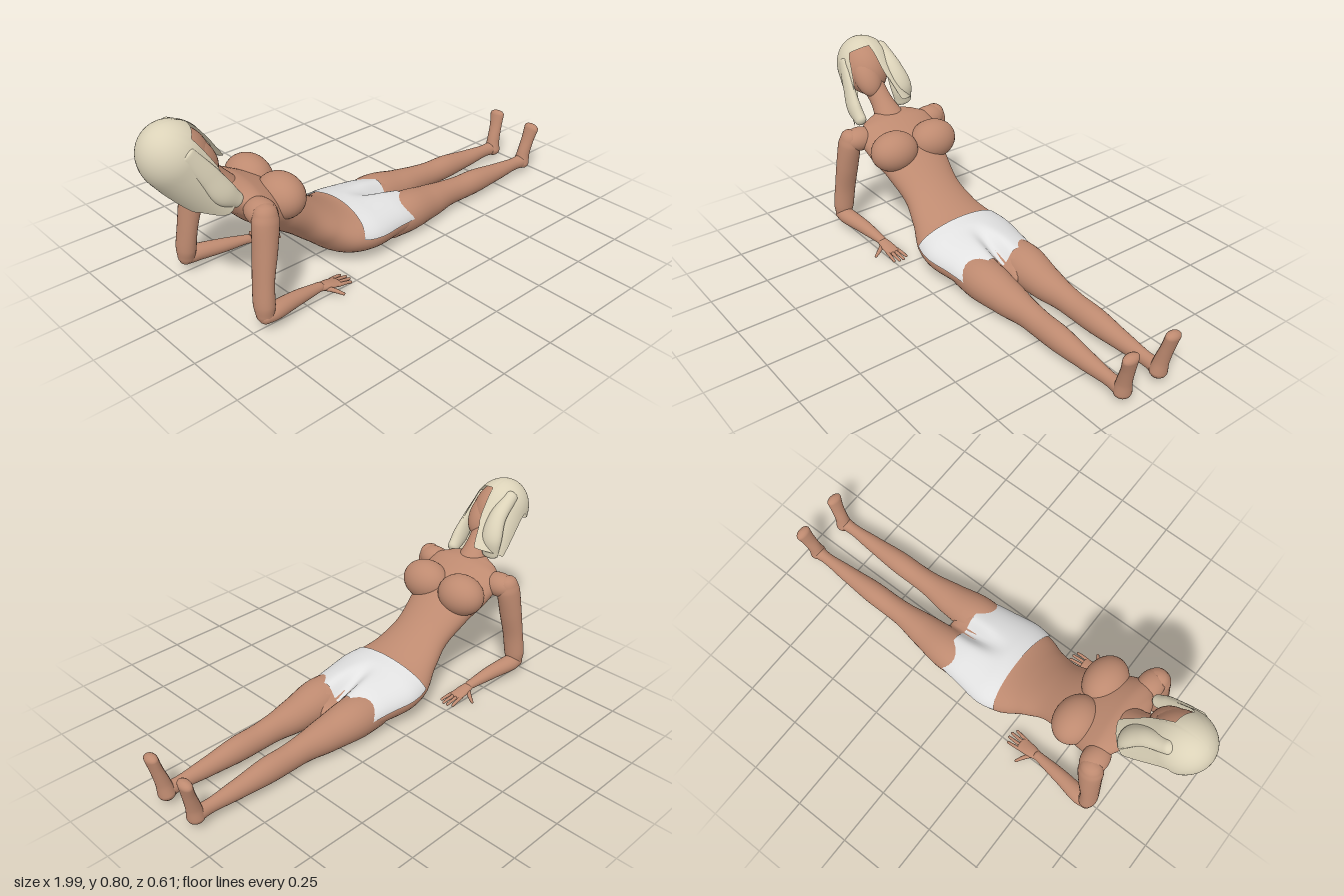
import * as THREE from 'three';

const V = (x, y, z) => new THREE.Vector3(x, y, z);
const mat = (name, color, side = THREE.FrontSide) => {
  const m = new THREE.MeshStandardMaterial({ color, side });
  m.name = name;
  return m;
};

// Turns a (rows x cols) grid of points into a smooth surface
function gridGeometry(rows, closed) {
  const n = rows[0].length, pos = [], idx = [];
  rows.forEach(r => r.forEach(p => pos.push(p.x, p.y, p.z)));
  for (let i = 0; i < rows.length - 1; i++) {
    for (let j = 0; j < (closed ? n : n - 1); j++) {
      const k = (j + 1) % n, a = i * n + j, b = i * n + k, c = a + n, d = b + n;
      idx.push(a, b, c, b, d, c);
    }
  }
  const g = new THREE.BufferGeometry();
  g.setAttribute('position', new THREE.Float32BufferAttribute(pos, 3));
  g.setIndex(idx);
  g.computeVertexNormals();
  return g;
}

// Smooth loft through elliptical sections [x, y, z, half thickness, half width in z]
function loft(sections, o = {}) {
  const { t0 = 0, t1 = 1, from = 0, to = Math.PI * 2, grow = 0, closed = true, steps = 40, sides = 28, warp } = o;
  const path = new THREE.CatmullRomCurve3(sections.map(s => V(s[0], s[1], s[2])));
  const size = new THREE.CatmullRomCurve3(sections.map(s => V(s[3], s[4], 0)), false, 'catmullrom', 0.4);
  const rows = [];
  const ring = (t, scale, push) => {
    const dir = path.getTangent(t), c = path.getPoint(t), r = size.getPoint(t);
    const side = V(0, 0, 1).addScaledVector(dir, -dir.z).normalize();
    const up = V(0, 0, 0).crossVectors(dir, side);
    c.addScaledVector(dir, push * Math.min(r.x, r.y));
    const row = [];
    for (let j = 0; j < (closed ? sides : sides + 1); j++) {
      const th = from + (to - from) * j / sides;
      const p = c.clone().addScaledVector(side, Math.cos(th) * (r.y * scale + grow))
        .addScaledVector(up, Math.sin(th) * (r.x * scale + grow));
      if (warp) warp(p, c);
      row.push(p);
    }
    rows.push(row);
  };
  const cap = [0, 0.25, 0.5, 0.75].map(k => k * Math.PI / 2);
  if (closed) cap.forEach(k => ring(t0, Math.sin(k), -Math.cos(k) * 0.8));
  for (let i = 0; i <= steps; i++) ring(t0 + (t1 - t0) * i / steps, 1, 0);
  if (closed) cap.reverse().forEach(k => ring(t1, Math.sin(k), Math.cos(k) * 0.8));
  return gridGeometry(rows, closed);
}

// Torso from the top of the thighs to the base of the neck
const TORSO = [
  [0.16, 0.09, 0, 0.085, 0.18], [0.05, 0.1, 0, 0.098, 0.195], [-0.08, 0.107, 0, 0.103, 0.213],
  [-0.17, 0.122, 0, 0.1, 0.2], [-0.27, 0.18, 0, 0.085, 0.157], [-0.36, 0.245, 0, 0.08, 0.135],
  [-0.47, 0.325, 0, 0.085, 0.152], [-0.56, 0.39, 0, 0.085, 0.18], [-0.64, 0.45, 0, 0.068, 0.19],
  [-0.685, 0.48, 0, 0.045, 0.13], [-0.71, 0.5, 0, 0.025, 0.06],
];
// Groove between the thighs
const groove = (p, c) => {
  const k = 0.7 * THREE.MathUtils.smoothstep(p.x, -0.08, 0.16) * Math.exp(-((p.z / 0.035) ** 2));
  p.y = c.y + (p.y - c.y) * (1 - k);
};

// Hair frame: tilted head axis and forward direction
const HEAD = V(-0.862, 0.667, 0.005), AXIS = V(-0.63, 0.777, 0), FRONT = V(0.777, 0.63, 0);
const headPoint = (h, f, z) => HEAD.clone().addScaledVector(AXIS, h).addScaledVector(FRONT, f).add(V(0, 0, z));
// Height of the hair's lower edge by angle from the front toward +z
const HAIR_EDGE = [
  [-180, -0.06], [-160, 0.02], [-95, 0.02], [-78, -0.2], [-20, -0.22], [-6, -0.1], [3, 0.055],
  [50, 0.055], [66, -0.1], [78, -0.22], [110, -0.24], [150, -0.17], [180, -0.06],
];
function edgeAt(deg) {
  const i = Math.max(1, HAIR_EDGE.findIndex(e => e[0] >= deg));
  const [a, b] = [HAIR_EDGE[i - 1], HAIR_EDGE[i]];
  return THREE.MathUtils.lerp(a[1], b[1], THREE.MathUtils.smoothstep(deg, a[0], b[0]));
}
function hairShell() {
  const rows = [], top = 0.142;
  for (let i = 0; i <= 24; i++) {
    const row = [];
    for (let j = 0; j <= 120; j++) {
      const deg = -180 + 3 * j, a = THREE.MathUtils.degToRad(deg), v = i / 24;
      const h = top - (top - edgeAt(deg)) * v * v;
      const r = h > 0 ? Math.sqrt(Math.max(0, 1 - (h / top) ** 2)) : 1;
      const flare = h < 0 ? 1 - h * 0.9 : 1;
      row.push(headPoint(h, 0.125 * r * Math.cos(a), 0.122 * r * flare * Math.sin(a)));
    }
    rows.push(row);
  }
  return gridGeometry(rows, false);
}

export function createModel() {
  const model = new THREE.Group();
  const skin = mat('skin', 0xbe8a70);
  const hair = mat('pale hair', 0xdbd2b8, THREE.DoubleSide);
  const cloth = mat('white cloth', 0xe2e2e2, THREE.DoubleSide);
  const add = (name, geo, m = skin) => {
    const mesh = new THREE.Mesh(geo, m);
    mesh.name = name;
    model.add(mesh);
    return mesh;
  };
  const ball = (name, c, r, tilt = 0) => {
    const b = add(name, new THREE.SphereGeometry(1, 32, 22));
    b.position.set(...c);
    b.scale.set(...r);
    b.rotation.z = tilt;
  };

  add('torso', loft(TORSO, { steps: 80, sides: 56, warp: groove }));
  add('shorts', loft(TORSO, {
    t0: 0.018, t1: 0.3, from: 0.1, to: Math.PI - 0.1, grow: 0.006, closed: false, steps: 30, sides: 48, warp: groove,
  }), cloth);

  // Neck, head and hair
  add('neck', loft([[-0.67, 0.47, 0, 0.06, 0.07], [-0.73, 0.55, 0.01, 0.047, 0.048], [-0.8, 0.63, 0.02, 0.05, 0.05]]));
  ball('head', [-0.85, 0.668, 0.015], [0.105, 0.125, 0.098], 0.68);
  ball('face', [-0.79, 0.655, 0.04], [0.055, 0.1, 0.062], 0.6);
  add('hair', hairShell(), hair);
  const lock = pts => add('hairLock', loft(pts.map(([h, f, z, a, b]) => [...headPoint(h, f, z).toArray(), a, b])), hair);
  lock([[0.05, 0.07, -0.07, 0.03, 0.03], [-0.06, 0.1, -0.075, 0.032, 0.04], [-0.15, 0.085, -0.085, 0.035, 0.05], [-0.21, 0.045, -0.09, 0.022, 0.04]]);
  lock([[0.04, 0.02, 0.105, 0.03, 0.015], [-0.08, 0.01, 0.122, 0.04, 0.02], [-0.17, 0.0, 0.13, 0.045, 0.027], [-0.235, 0.01, 0.128, 0.03, 0.025]]);

  // Paired parts
  for (const s of [1, -1]) {
    const limb = (name, pts, o) => add(name, loft(pts.map(([x, y, z, a, b]) => [x, y, z * s, a, b]), o));

    ball('breast', [-0.49, 0.415, 0.1 * s], [0.087, 0.088, 0.108]);
    ball('shoulder', [-0.643, 0.44, 0.185 * s], [0.055, 0.052, 0.075]);

    limb('upperArm', [
      [-0.65, 0.455, 0.222, 0.045, 0.042], [-0.655, 0.42, 0.227, 0.052, 0.048], [-0.67, 0.32, 0.236, 0.045, 0.05],
      [-0.69, 0.2, 0.245, 0.037, 0.048], [-0.698, 0.11, 0.254, 0.038, 0.046], [-0.698, 0.065, 0.258, 0.034, 0.036],
    ]);
    limb('forearm', [
      [-0.705, 0.063, 0.26, 0.03, 0.034], [-0.66, 0.064, 0.26, 0.034, 0.038], [-0.55, 0.056, 0.244, 0.03, 0.031],
      [-0.42, 0.043, 0.23, 0.018, 0.02],
    ]);
    limb('palm', [
      [-0.43, 0.042, 0.23, 0.016, 0.019], [-0.385, 0.034, 0.229, 0.015, 0.028], [-0.335, 0.024, 0.226, 0.01, 0.031],
    ]);
    [-1.5, -0.5, 0.5, 1.5].forEach((k, i) => limb('finger', [
      [-0.345, 0.025, 0.226 + k * 0.016, 0.008, 0.008], [-0.31, 0.021, 0.225 + k * 0.019, 0.007, 0.007],
      [-0.275 - [0.012, 0, 0, 0.01][i], 0.014, 0.223 + k * 0.021, 0.006, 0.006],
    ], { steps: 8, sides: 10 }));
    limb('thumb', [
      [-0.405, 0.033, 0.238, 0.01, 0.01], [-0.38, 0.026, 0.268, 0.009, 0.009], [-0.36, 0.017, 0.3, 0.006, 0.006],
    ], { steps: 8, sides: 10 });

    limb('leg', [
      [0.05, 0.09, 0.1, 0.08, 0.085], [0.16, 0.092, 0.1, 0.086, 0.09], [0.3, 0.081, 0.094, 0.072, 0.073],
      [0.42, 0.077, 0.092, 0.058, 0.054], [0.5, 0.072, 0.092, 0.054, 0.05], [0.6, 0.07, 0.092, 0.053, 0.049],
      [0.75, 0.063, 0.092, 0.039, 0.037], [0.87, 0.06, 0.092, 0.029, 0.026], [0.93, 0.058, 0.092, 0.032, 0.03],
    ], { steps: 60 });
    limb('foot', [
      [0.935, 0.05, 0.09, 0.034, 0.036], [0.943, 0.1, 0.093, 0.029, 0.029], [0.96, 0.165, 0.098, 0.024, 0.03],
      [0.974, 0.222, 0.104, 0.023, 0.036],
    ]);
  }
  return model;
}
